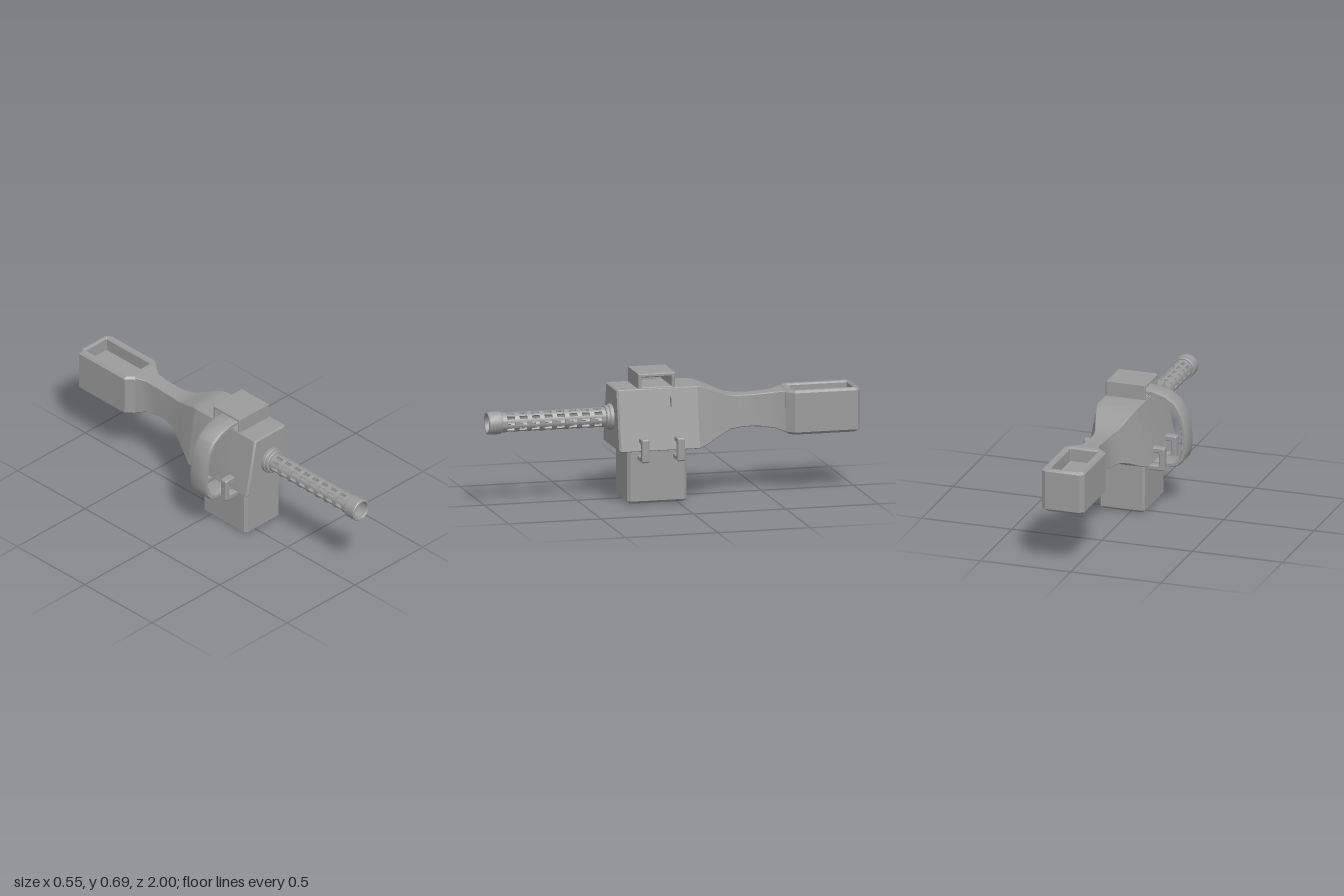
import * as THREE from 'three';
import { mergeGeometries, toCreasedNormals } from 'three/addons/utils/BufferGeometryUtils.js';

const material = new THREE.MeshStandardMaterial({ color: 0x9b9b9b });

function add(parent, name, geometry, crease = 0.5) {
  const mesh = new THREE.Mesh(toCreasedNormals(geometry, crease), material);
  mesh.name = name;
  parent.add(mesh);
}

// Skin a list of equal-length rings (counter-clockwise about the travel direction) and cap the ends
function loft(rings, skip = () => false) {
  const pos = [];
  const tri = (...pts) => pts.forEach((p) => pos.push(...p));
  const n = rings[0].length;
  for (let r = 0; r < rings.length - 1; r++) {
    for (let i = 0; i < n; i++) {
      if (skip(r, i)) continue;
      const j = (i + 1) % n, a = rings[r], b = rings[r + 1];
      tri(a[i], a[j], b[j]);
      tri(a[i], b[j], b[i]);
    }
  }
  const first = rings[0], last = rings[rings.length - 1];
  for (let i = 1; i < n - 1; i++) {
    tri(first[0], first[i + 1], first[i]);
    tri(last[0], last[i], last[i + 1]);
  }
  const g = new THREE.BufferGeometry();
  g.setAttribute('position', new THREE.Float32BufferAttribute(pos, 3));
  return g;
}

// Trapezoid outline with clipped corners: b and t are the half widths at y0 and y1
function outline(b, t, y0, y1, c, d = c) {
  return [[-b + c, y0], [b - c, y0], [b, y0 + d], [t, y1 - d],
    [t - c, y1], [-t + c, y1], [-t, y1 - d], [-b, y0 + d]];
}

const at = (pts, z) => pts.map(([x, y]) => [x, y, z]);

function polygon(points, Type = THREE.Shape) {
  return new Type(points.map(([x, y]) => new THREE.Vector2(x, y)));
}

const rect = (x0, y0, x1, y1) => [[x0, y0], [x1, y0], [x1, y1], [x0, y1]];

function lathe(points) {
  const g = new THREE.LatheGeometry(points.map(([x, y]) => new THREE.Vector2(x, y)), 16);
  return g.rotateX(Math.PI / 2);
}

function addBody(model) {
  const c = 0.004;
  // z, bottom y, top y, bottom half width, top half width
  const sections = [
    [-0.63, 0.33, 0.55, 0.085, 0.085], [-0.595, 0.333, 0.55, 0.074, 0.072],
    [-0.55, 0.348, 0.543, 0.05, 0.047], [-0.48, 0.361, 0.537, 0.048, 0.044],
    [-0.42, 0.366, 0.535, 0.052, 0.044], [-0.36, 0.367, 0.535, 0.064, 0.046],
    [-0.3, 0.363, 0.541, 0.086, 0.06], [-0.24, 0.341, 0.565, 0.115, 0.08],
    [-0.18, 0.311, 0.591, 0.14, 0.098], [-0.14, 0.295, 0.605, 0.157, 0.107],
    [-0.11, 0.287, 0.61, 0.173, 0.113], [0.315, 0.287, 0.61, 0.173, 0.113],
  ];
  const rings = sections.map(([z, y0, y1, b, t]) => at(outline(b, t, y0, y1, c), z));
  rings.push(at(outline(0.163, 0.105, 0.293, 0.604, c), 0.325));
  add(model, 'receiver', loft(rings, (r, i) => r === 10 && i === 2));

  // Sloping left wall with a recessed slot
  const up = new THREE.Vector3(-0.06, 0.315, 0);
  const height = up.length();
  up.normalize();
  const along = new THREE.Vector3(0, 0, -1);
  const frame = new THREE.Matrix4()
    .makeBasis(along, up, new THREE.Vector3().crossVectors(along, up))
    .setPosition(0.173, 0.291, 0.315);
  const wall = polygon(rect(0, 0, 0.425, height));
  wall.holes.push(polygon(rect(0.138, 0.222, 0.282, 0.277), THREE.Path));
  const wallGeometry = new THREE.ExtrudeGeometry(wall, { depth: 0.025, bevelEnabled: false });
  add(model, 'slottedWall', wallGeometry.translate(0, 0, -0.025).applyMatrix4(frame));
  const back = new THREE.PlaneGeometry(0.16, 0.07).translate(0.21, 0.25, -0.024);
  add(model, 'slotBack', back.applyMatrix4(frame));
}

// Open-topped box at the rear, with its front corners tapering into the neck
function addStock(model) {
  const ring = (inset, y) => {
    const w = 0.118 - inset, f = 0.6 + inset, r = 0.998 - inset;
    return at([[-0.08 + inset * 0.6, f], [0.08 - inset * 0.6, f], [w, 0.642], [w, r - 0.018],
      [w - 0.025, r], [-w + 0.025, r], [-w, r - 0.018], [-w, 0.642]], y);
  };
  const well = (grow, y) => at(
    outline(0.076 + grow, 0.076 + grow, 0.646 - grow, 0.97 + grow, 0.004), y);
  const g = loft([ring(0.014, 0.32), ring(0, 0.334), ring(0, 0.543), ring(0.012, 0.555),
    well(0.008, 0.555), well(0, 0.547), well(0, 0.48)]);
  add(model, 'stockBox', g.rotateX(-Math.PI / 2));
}

function addMagazine(model) {
  const ring = (i, y) => at(outline(0.127 - i, 0.127 - i, -0.27 + i, 0.052 - i, 0.014), y);
  const g = loft([ring(0.014, 0), ring(0, 0.014), ring(0, 0.3)]);
  add(model, 'magazine', g.rotateX(-Math.PI / 2));
}

// Rectangular tunnel on top that receives the strap
function addTopFrame(model) {
  const shape = polygon(rect(-0.203, 0.602, -0.013, 0.684));
  shape.holes.push(polygon(rect(-0.194, 0.612, -0.022, 0.674), THREE.Path));
  const g = new THREE.ExtrudeGeometry(shape, {
    depth: 0.208, bevelThickness: 0.006, bevelSize: 0.005, bevelSegments: 1,
  });
  add(model, 'topFrame', g.translate(0, 0, -0.104).rotateY(Math.PI / 2));
}

// C-shaped side clips, two on each side
function addClips(model) {
  const shape = polygon([[0.11, 0.24], [0.215, 0.24], [0.219, 0.244], [0.219, 0.351],
    [0.215, 0.355], [0.13, 0.355], [0.13, 0.337], [0.19, 0.337], [0.199, 0.328],
    [0.199, 0.266], [0.19, 0.257], [0.11, 0.257]]);
  const clip = new THREE.ExtrudeGeometry(shape, {
    depth: 0.03, bevelThickness: 0.006, bevelSize: 0.005, bevelSegments: 1,
  }).translate(0, 0, -0.015);
  for (const z of [0.004, 0.197]) {
    for (const side of [0, 1]) {
      const g = clip.clone().rotateY(side * Math.PI).translate(0, 0, z);
      add(model, side ? 'rightClip' : 'leftClip', g);
    }
  }
}

// Curved carrying strap on the right side
function addStrap(model) {
  const path = [[-0.06, 0.636], [-0.13, 0.636], [-0.2, 0.617], [-0.253, 0.58], [-0.285, 0.525],
    [-0.302, 0.465], [-0.308, 0.395], [-0.31, 0.335], [-0.297, 0.287], [-0.273, 0.261],
    [-0.24, 0.249], [-0.2, 0.247], [-0.11, 0.247]];
  const section = outline(0.058, 0.058, -0.014, 0.014, 0.012, 0.006);
  const rings = path.map(([x, y], i) => {
    const p = path[Math.max(i - 1, 0)], q = path[Math.min(i + 1, path.length - 1)];
    const t = new THREE.Vector2(q[0] - p[0], q[1] - p[1]).normalize();
    return section.map(([u, v]) => [x + v * t.y, y - v * t.x, 0.107 + u]);
  });
  add(model, 'strap', loft(rings), 0.6);
}

function addBarrel(model) {
  const barrel = new THREE.Group();
  barrel.name = 'barrel';
  barrel.position.y = 0.447;
  model.add(barrel);

  add(barrel, 'barrelCollar', lathe([[0, 0.31], [0.07, 0.31], [0.07, 0.342], [0.066, 0.346],
    [0.063, 0.346], [0.063, 0.36], [0.059, 0.364], [0, 0.364]]));
  add(barrel, 'muzzleRing', lathe([[0.047, 0.93], [0.057, 0.927], [0.061, 0.932], [0.061, 0.995],
    [0.057, 1], [0.05, 1], [0.047, 0.995], [0.047, 0.93]]));

  // Perforated jacket: long staves alternating with short bridges between the holes
  const step = Math.PI / 10, pitch = 0.0675, start = 0.36, end = 0.94;
  const wedge = (k, z0, z1) => {
    const p = (r, a) => [r * Math.cos(a), r * Math.sin(a)];
    const half = step * (k % 2 ? 0.44 : 0.56);
    const a = k * step - half, b = k * step + half;
    const shape = polygon([p(0.043, a), p(0.052, a), p(0.052, b), p(0.043, b)]);
    return new THREE.ExtrudeGeometry(shape, { depth: z1 - z0, bevelEnabled: false })
      .translate(0, 0, z0);
  };
  const pieces = [];
  for (let k = 0; k < 20; k++) {
    if (k % 2) {
      pieces.push(wedge(k, start, end));
      continue;
    }
    for (let row = 0; row <= 8; row++) {
      const z0 = row === 0 ? start : 0.372 + row * pitch - 0.013;
      pieces.push(wedge(k, z0, row === 8 ? end : 0.385 + row * pitch));
    }
  }
  add(barrel, 'perforatedJacket', mergeGeometries(pieces));
}

export function createModel() {
  const group = new THREE.Group();
  const model = new THREE.Group();
  model.name = 'assembly';
  model.position.x = 0.049;
  group.add(model);
  addBody(model);
  addStock(model);
  addMagazine(model);
  addTopFrame(model);
  addClips(model);
  addStrap(model);
  addBarrel(model);
  return group;
}
